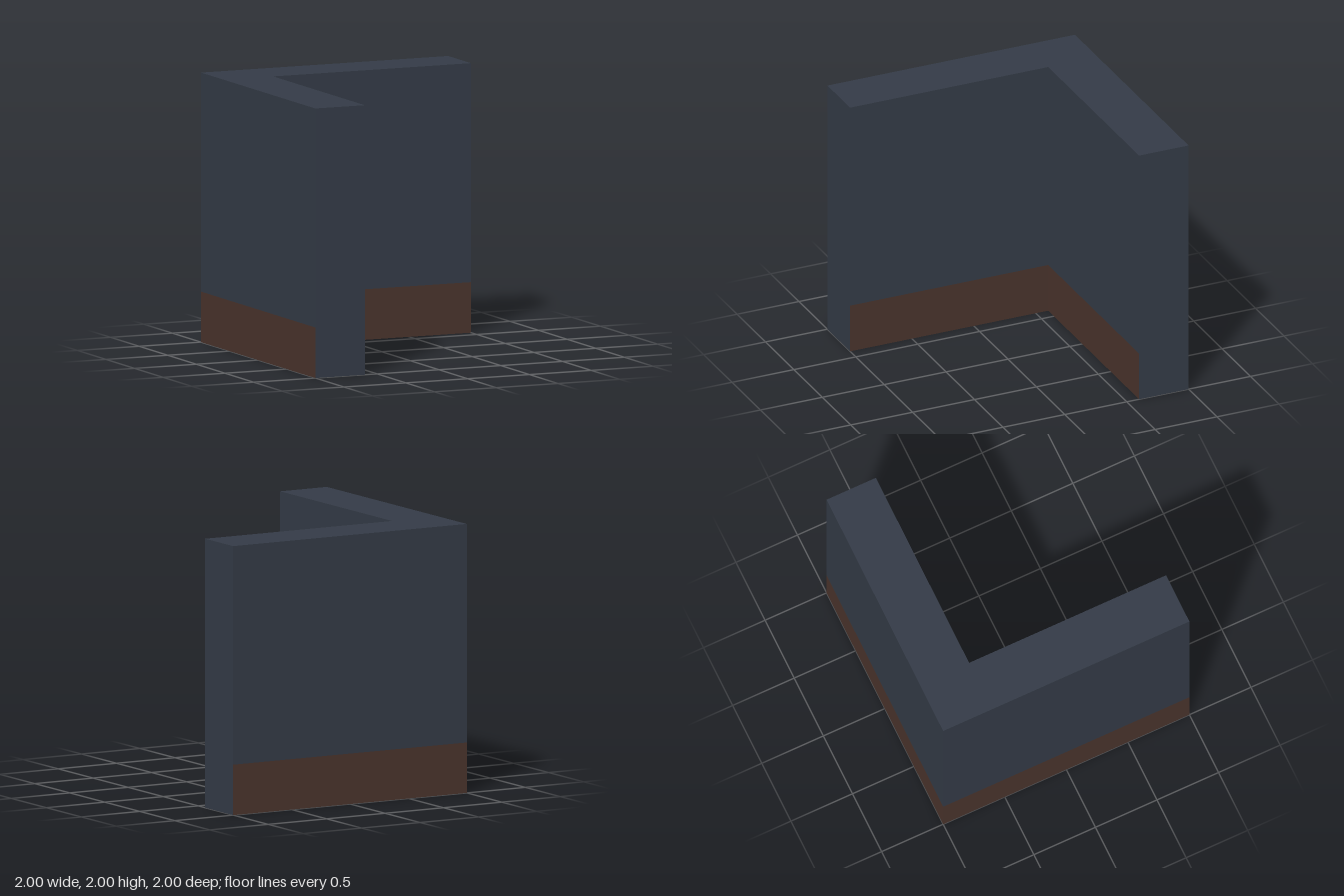
import * as THREE from 'three';

const HEIGHT = 2;
const BASE_HEIGHT = 0.375;

// L-shaped footprint as [x, z]; base marks sides that carry the brown band
const outline = [
  { name: 'frontEnd', at: [-1, 1], base: false },
  { name: 'innerSideWall', at: [-0.6, 1], base: true },
  { name: 'innerBackWall', at: [-0.6, -0.6], base: true },
  { name: 'sideEnd', at: [1, -0.6], base: false },
  { name: 'outerBackWall', at: [1, -1], base: true },
  { name: 'outerSideWall', at: [-1, -1], base: true },
];

// Upright panel from a to b, facing outward
function panel(name, a, b, y0, y1, material) {
  const dx = b[0] - a[0], dz = b[1] - a[1];
  const mesh = new THREE.Mesh(new THREE.PlaneGeometry(Math.hypot(dx, dz), y1 - y0), material);
  mesh.position.set((a[0] + b[0]) / 2, (y0 + y1) / 2, (a[1] + b[1]) / 2);
  mesh.rotation.y = Math.atan2(-dz, dx);
  mesh.name = name;
  return mesh;
}

export function createModel() {
  const group = new THREE.Group();
  group.name = 'cornerWall';

  // The shell is hollow and open underneath, so both sides show
  const paint = new THREE.MeshStandardMaterial({ color: 0x343b47, side: THREE.DoubleSide });
  paint.name = 'slate blue';
  const wood = new THREE.MeshStandardMaterial({ color: 0x4a342c, side: THREE.DoubleSide });
  wood.name = 'dark brown';

  // Walls with their base bands
  outline.forEach(({ name, at, base }, i) => {
    const next = outline[(i + 1) % outline.length].at;
    const bottom = base ? BASE_HEIGHT : 0;
    group.add(panel(name, at, next, bottom, HEIGHT, paint));
    if (base) group.add(panel(name + 'Base', at, next, 0, BASE_HEIGHT, wood));
  });

  // Flat top
  const shape = new THREE.Shape(outline.map(({ at }) => new THREE.Vector2(at[0], -at[1])));
  const top = new THREE.Mesh(new THREE.ShapeGeometry(shape).rotateX(-Math.PI / 2), paint);
  top.position.y = HEIGHT;
  top.name = 'wallTop';
  group.add(top);

  return group;
}
